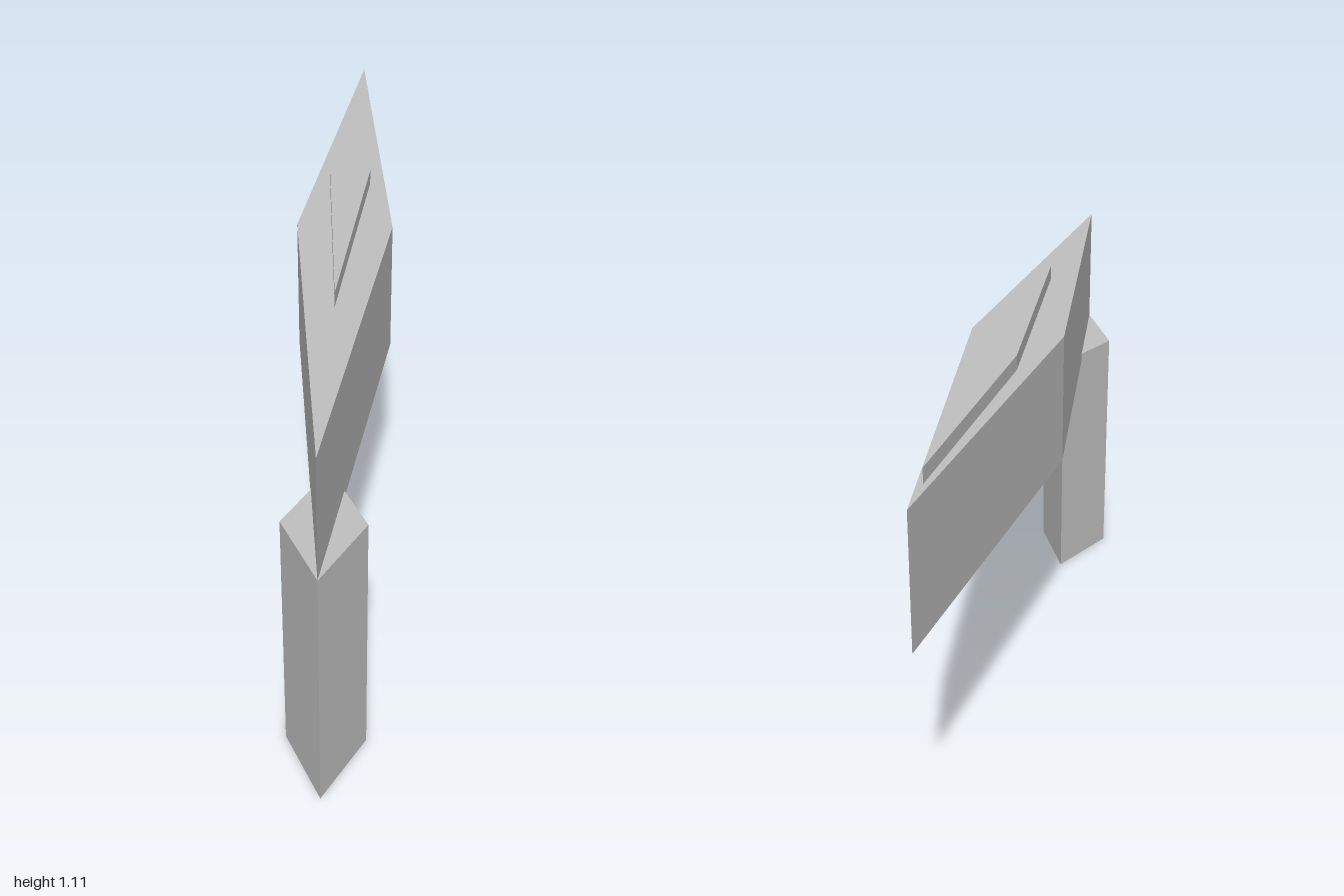
import * as THREE from 'three';

export function createModel() {
  const model = new THREE.Group();
  const grey = new THREE.MeshStandardMaterial({ color: 0xc0c0c0 });
  grey.name = 'light grey';

  // Upright prism with a diamond plan: half width, z of both tips, y range
  function diamondPrism(name, halfWidth, zFront, zBack, yBottom, yTop) {
    const zMid = (zFront + zBack) / 2;
    const plan = new THREE.Shape([
      new THREE.Vector2(0, -zFront),
      new THREE.Vector2(halfWidth, -zMid),
      new THREE.Vector2(0, -zBack),
      new THREE.Vector2(-halfWidth, -zMid),
    ]);
    const geometry = new THREE.ExtrudeGeometry(plan, { depth: yTop - yBottom, bevelEnabled: false });
    geometry.rotateX(-Math.PI / 2).translate(0, yBottom, 0);
    const mesh = new THREE.Mesh(geometry, grey);
    mesh.name = name;
    model.add(mesh);
  }

  // Long body, the post under its front tip, and the thin ridge on top
  diamondPrism('body', 0.125, 1, -1, 0.7, 1.065);
  diamondPrism('post', 0.104, 1, 0.6, 0, 0.722);
  diamondPrism('topRidge', 0.055, 0.4, -0.88, 1.06, 1.105);

  return model;
}
